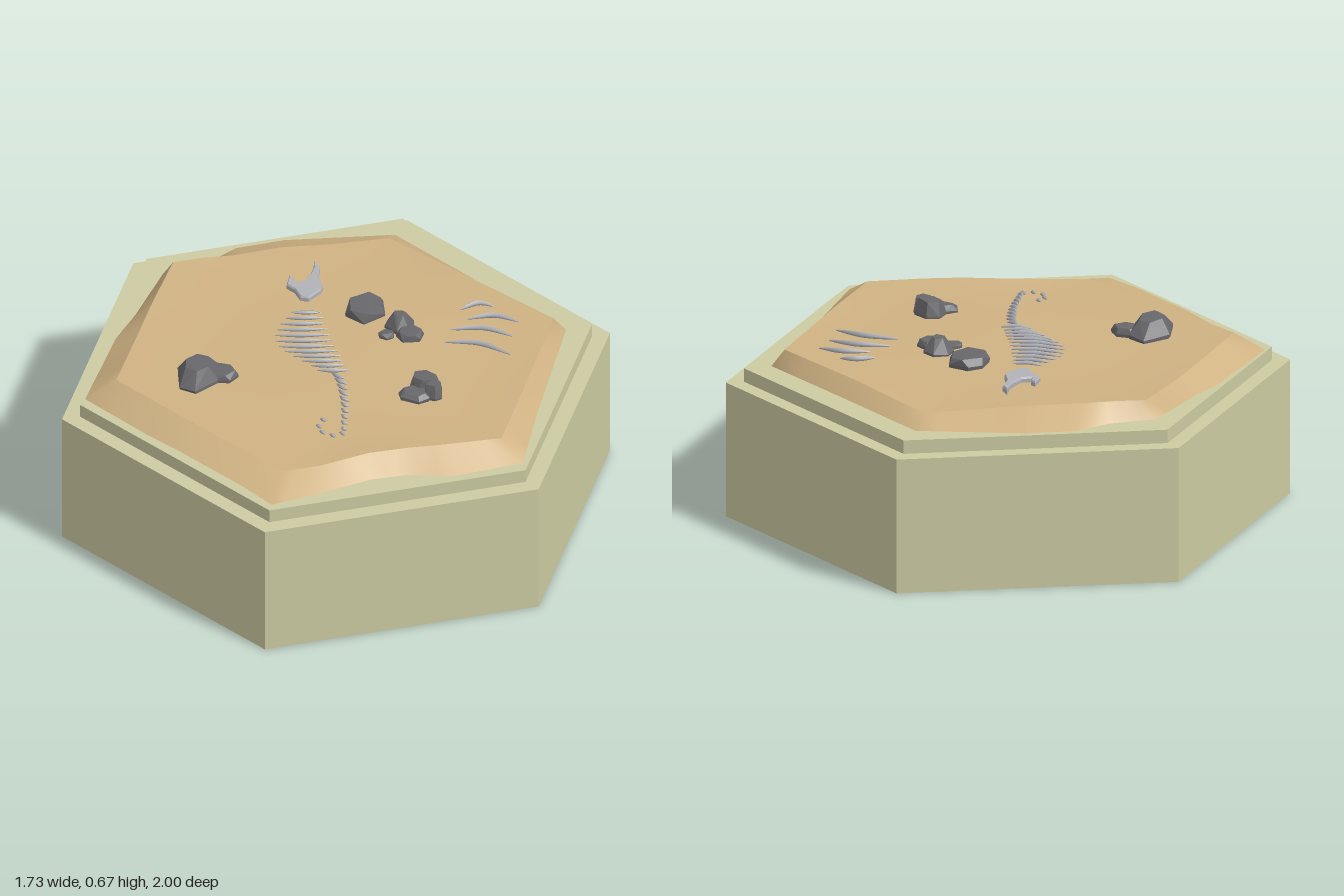
import * as THREE from 'three';
import { ConvexGeometry } from 'three/addons/geometries/ConvexGeometry.js';

const mat = (color, extra = {}) => new THREE.MeshStandardMaterial({ color, ...extra });

// Gentle dune height shared by the sand and everything lying on it
const duneHeight = (x, z) =>
  0.608 + 0.005 * Math.sin(5 * x + 1) * Math.cos(4 * z) - 0.03 * Math.max(0, Math.abs(z) - 0.42);

function mesh(parent, name, geometry, material) {
  const m = new THREE.Mesh(geometry, material);
  m.name = name;
  parent.add(m);
  return m;
}

// Skin a grid of cross-section loops, each an array of [x, y, z]
function loft(loops) {
  const n = loops[0].length, pos = loops.flat(2), idx = [];
  for (let j = 0; j < loops.length - 1; j++) {
    for (let i = 0; i < n; i++) {
      const a = j * n + i, b = j * n + (i + 1) % n;
      idx.push(a, b, a + n, b, b + n, a + n);
    }
  }
  const g = new THREE.BufferGeometry();
  g.setAttribute('position', new THREE.Float32BufferAttribute(pos, 3));
  g.setIndex(idx);
  g.computeVertexNormals();
  return g;
}

// Sand edge: foot x, z then rim x, z, y, running round from the back
const sandEdge = [
  [0, -0.83, 0, -0.75, 0.59], [-0.2, -0.76, -0.18, -0.65, 0.6], [-0.37, -0.7, -0.35, -0.57, 0.61],
  [-0.52, -0.61, -0.5, -0.48, 0.61], [-0.6, -0.49, -0.6, -0.43, 0.615], [-0.73, -0.39, -0.69, -0.38, 0.615],
  [-0.76, -0.12, -0.7, -0.12, 0.61], [-0.79, 0.04, -0.7, 0.1, 0.61], [-0.8, 0.43, -0.7, 0.38, 0.617],
  [-0.4, 0.67, -0.35, 0.57, 0.607], [0, 0.9, 0, 0.75, 0.595], [0.12, 0.81, 0.12, 0.69, 0.598],
  [0.3, 0.66, 0.27, 0.59, 0.612], [0.42, 0.6, 0.4, 0.53, 0.617], [0.57, 0.57, 0.52, 0.475, 0.615],
  [0.79, 0.43, 0.7, 0.38, 0.61], [0.76, 0.1, 0.7, 0.1, 0.612], [0.73, -0.41, 0.69, -0.385, 0.61],
  [0.36, -0.62, 0.35, -0.56, 0.605],
];

function addSand(parent) {
  const material = mat(0xcfb283, { side: THREE.DoubleSide });
  const edge = [];
  sandEdge.forEach((p, i) => {
    const q = sandEdge[(i + 1) % sandEdge.length];
    for (let k = 0; k < 3; k++) edge.push(p.map((v, c) => v + (q[c] - v) * k / 3));
  });
  const foot = edge.map(([x, z]) => [x, x < -0.1 && x > -0.5 && z > 0 ? 0.56 : 0.551, z]);
  const rim = edge.map(([, , x, z, y]) => [x, y, z]);
  const skirt = loft([rim, foot].reverse());
  mesh(parent, 'sandSlope', skirt, material);

  // Dune surface: shrinking rings blending from the rim into the dune height
  const rings = [];
  for (let k = 0; k <= 10; k++) {
    const s = 1 - k / 10, w = s ** 5;
    rings.push(rim.map(([x, y, z]) => [x * s, y * w + duneHeight(x * s, z * s) * (1 - w), z * s]));
  }
  mesh(parent, 'sandSurface', loft(rings), material);
}

function addRocks(parent) {
  let seed = 7;
  const rand = () => (seed = (seed * 16807) % 2147483647) / 2147483647;
  const material = mat(0x68686c, { flatShading: true });
  // Chunks: centre x, z, half sizes, top height, top taper
  const rocks = [
    [[-0.43, 0.28, 0.08, 0.11, 0.675, 0.55], [-0.35, 0.25, 0.06, 0.05, 0.64, 0.8]],
    [[0.04, -0.26, 0.075, 0.085, 0.648, 0.85]],
    [[0.18, -0.2, 0.055, 0.055, 0.672, 0.4], [0.23, -0.15, 0.05, 0.05, 0.64, 0.8], [0.15, -0.13, 0.03, 0.03, 0.632, 0.8]],
    [[0.36, 0.15, 0.06, 0.05, 0.672, 0.7], [0.34, 0.21, 0.06, 0.045, 0.64, 0.7], [0.4, 0.18, 0.04, 0.04, 0.665, 0.7]],
  ];
  rocks.forEach((chunks, r) => {
    const rock = new THREE.Group();
    rock.name = 'rock' + (r + 1);
    parent.add(rock);
    for (const [cx, cz, rx, rz, top, taper] of chunks) {
      const points = [];
      const turn = rand() * 6;
      for (const [y, s] of [[0.565, 0.9], [0.615, 1], [top - 0.008, taper]]) {
        for (let i = 0; i < 6; i++) {
          const a = turn + (i + rand() * 0.4) * Math.PI / 3;
          points.push(new THREE.Vector3(cx + Math.cos(a) * rx * s, y + rand() * 0.008, cz + Math.sin(a) * rz * s));
        }
      }
      mesh(rock, 'rockChunk', new ConvexGeometry(points), material);
    }
  });
}

function addSkeleton(parent) {
  const material = mat(0xb0b2b8);
  const skeleton = new THREE.Group();
  skeleton.name = 'skeleton';
  parent.add(skeleton);

  // Tapered bone lying on the sand through three [x, z] points
  function bone(name, pts, radius, lift) {
    const curve = new THREE.CatmullRomCurve3(pts.map(([x, z], i) =>
      new THREE.Vector3(x, duneHeight(x, z) + (i === 1 ? lift : lift * 0.5), z)));
    const g = new THREE.TubeGeometry(curve, 8, radius, 5);
    const p = g.attributes.position, v = new THREE.Vector3();
    for (let i = 0; i < p.count; i++) {
      const t = Math.floor(i / 6) / 8, c = curve.getPointAt(t);
      v.fromBufferAttribute(p, i).sub(c).multiplyScalar(0.25 + 0.75 * Math.sin(Math.PI * t)).add(c);
      p.setXYZ(i, v.x, v.y, v.z);
    }
    g.computeVertexNormals();
    mesh(skeleton, name, g, material);
  }

  // Horned skull with an open jaw
  const outline = [[-0.21, -0.5], [-0.18, -0.47], [-0.17, -0.41], [-0.14, -0.36], [-0.14, -0.33], [-0.17, -0.27],
    [-0.2, -0.27], [-0.23, -0.31], [-0.265, -0.33], [-0.27, -0.39], [-0.25, -0.38], [-0.24, -0.35],
    [-0.21, -0.37], [-0.2, -0.42], [-0.2, -0.46]];
  const shape = new THREE.Shape(outline.map(([x, z]) => new THREE.Vector2(x, -z)));
  const skull = mesh(skeleton, 'skull', new THREE.ExtrudeGeometry(shape,
    { depth: 0.02, bevelThickness: 0.006, bevelSize: 0.004, bevelOffset: -0.004, bevelSegments: 1 }), material);
  skull.rotation.x = -Math.PI / 2;
  skull.position.y = 0.602;

  // Ribs: long beside the chest, shrinking to small tail bones
  const spine = new THREE.CatmullRomCurve3([[-0.16, -0.2], [-0.15, -0.1], [-0.11, 0], [-0.03, 0.08],
    [0.05, 0.16], [0.11, 0.3], [0.15, 0.46]].map(([x, z]) => new THREE.Vector3(x, 0, z)));
  const count = 22;
  for (let i = 0; i < count; i++) {
    const t = i / (count - 1), c = spine.getPointAt(t);
    const half = t < 0.5 ? 0.05 + 0.045 * Math.sin(Math.PI * t * 2) : 0.055 - 0.07 * (t - 0.5);
    const tilt = t < 0.55 ? -0.25 : 0.5, size = t < 0.55 ? half : half * 0.55;
    bone(t < 0.55 ? 'rib' : 'tailBone', [[c.x - size, c.z - tilt * size], [c.x, c.z + 0.008],
      [c.x + size, c.z + tilt * size]], 0.0075, 0.008);
  }
  // Curled tail tip
  for (const [x, z] of [[0.15, 0.49], [0.12, 0.51], [0.08, 0.5], [0.06, 0.47], [0.065, 0.43]]) {
    bone('tailTip', [[x - 0.012, z - 0.006], [x, z], [x + 0.012, z + 0.006]], 0.007, 0.006);
  }
  // Large loose ribs beside the rocks
  const loose = [[0.36, -0.35, 0.47, -0.4], [0.4, -0.3, 0.58, -0.33], [0.36, -0.22, 0.58, -0.24], [0.36, -0.14, 0.6, -0.13]];
  for (const [x1, z1, x2, z2] of loose) {
    bone('looseRib', [[x1, z1], [(x1 + x2) / 2, (z1 + z2) / 2 - 0.025], [x2, z2]], 0.01, 0.012);
  }
}

export function createModel() {
  const group = new THREE.Group();
  const stone = mat(0xcccba2, { flatShading: true });

  // Hexagonal plinth and its raised step
  mesh(group, 'base', new THREE.CylinderGeometry(1, 1, 0.5, 6), stone).position.y = 0.25;
  mesh(group, 'step', new THREE.CylinderGeometry(0.935, 0.935, 0.05, 6), stone).position.y = 0.525;

  addSand(group);
  addRocks(group);
  addSkeleton(group);
  return group;
}
